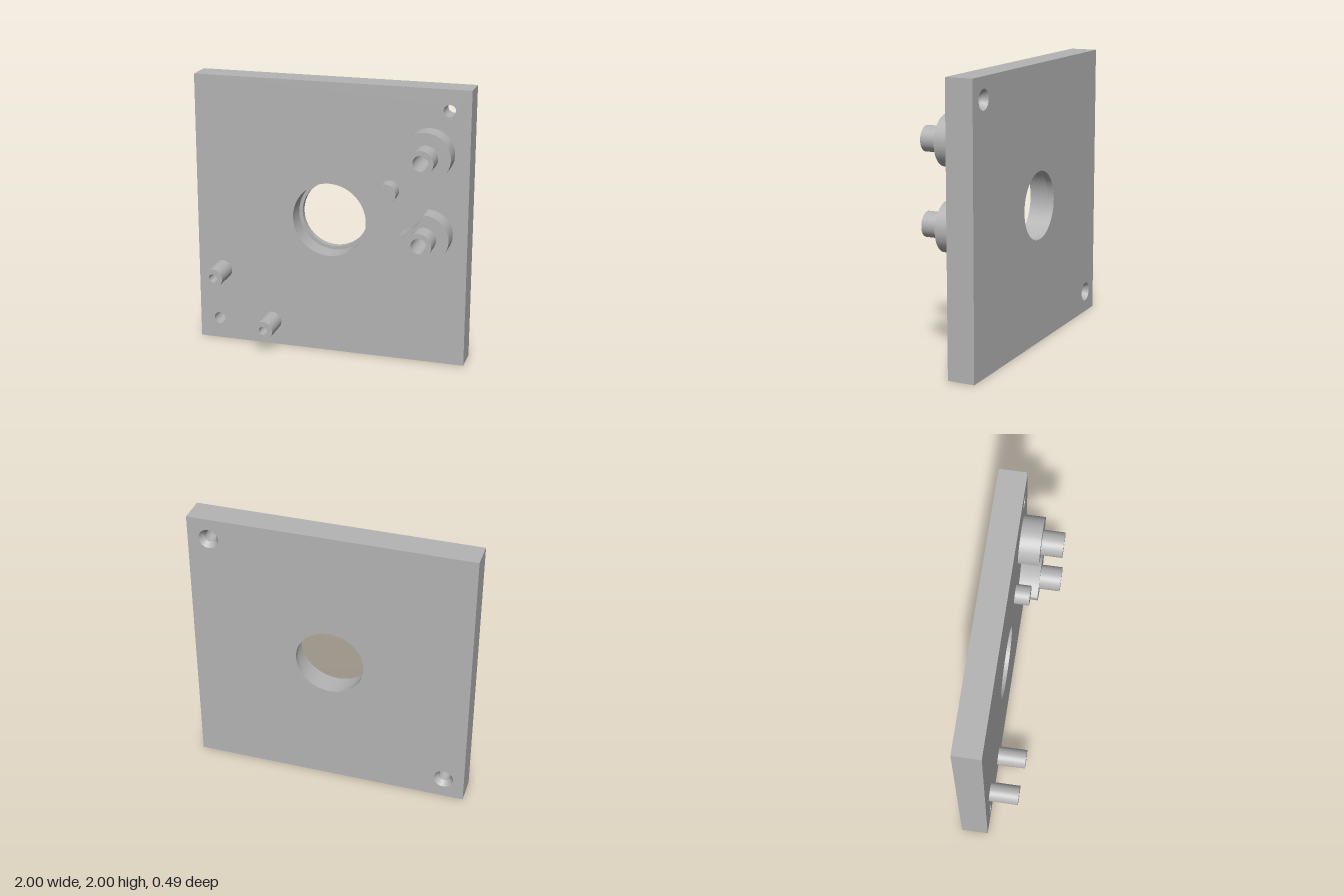
import * as THREE from 'three';
import { mergeGeometries, toCreasedNormals } from 'three/addons/utils/BufferGeometryUtils.js';

const BACK = -0.245, FRONT = -0.05, SEG = 48;

// Turned surface about the z axis; each [radius, z] segment keeps its own sharp edges.
function turned(profile) {
  const bands = [];
  for (let i = 0; i < profile.length - 1; i++) {
    const pair = [profile[i], profile[i + 1]].map(([r, z]) => new THREE.Vector2(r, z));
    bands.push(new THREE.LatheGeometry(pair, SEG));
  }
  return mergeGeometries(bands).rotateX(Math.PI / 2);
}

function circlePath(x, y, r) {
  return new THREE.Path().absarc(x, y, r, 0, Math.PI * 2, true);
}

// Square plate face with round holes given as [x, y, radius].
function plateFace(holes) {
  const s = new THREE.Shape([[-1, 0], [1, 0], [1, 2], [-1, 2]].map(p => new THREE.Vector2(...p)));
  holes.forEach(h => s.holes.push(circlePath(...h)));
  return new THREE.ShapeGeometry(s, SEG / 2);
}

export function createModel() {
  const model = new THREE.Group();
  const grey = new THREE.MeshStandardMaterial({ color: 0xb4b4b4 });
  grey.name = 'machined grey';

  function add(name, geometry, x = 0, y = 0) {
    const mesh = new THREE.Mesh(geometry, grey);
    mesh.name = name;
    mesh.position.set(x, y, 0);
    model.add(mesh);
    return mesh;
  }

  // Plate faces and edges
  const screws = [[0.85, 1.85], [-0.85, 0.155]];
  add('plateFront', plateFace([[0, 1, 0.27], ...screws.map(p => [...p, 0.043])]).translate(0, 0, FRONT));
  const back = plateFace([[0, 1, 0.245], ...screws.map(([x, y]) => [-x, y, 0.07])]);
  add('plateBack', back.rotateY(Math.PI).translate(0, 0, BACK));
  const walls = [];
  for (let i = 0; i < 4; i++) {
    walls.push(new THREE.PlaneGeometry(2, FRONT - BACK).translate(0, 0, 1).rotateY(i * Math.PI / 2));
  }
  add('plateEdges', mergeGeometries(walls).rotateX(Math.PI / 2).translate(0, 1, (FRONT + BACK) / 2));

  // Stepped central opening and countersunk corner holes
  add('centralBore', turned([[0.27, FRONT], [0.27, -0.2], [0.245, -0.2], [0.245, BACK]]), 0, 1);
  screws.forEach(([x, y]) =>
    add('screwHole', turned([[0.043, FRONT], [0.043, BACK + 0.04], [0.07, BACK]]), x, y));

  // Large bosses, each scooped by an arc around the locating pin
  const pin = new THREE.Vector2(0.437, 1.26), scoop = 0.302, bossR = 0.175;
  [[0.72, 1.55], [0.72, 0.97]].forEach(([x, y]) => {
    const dx = pin.x - x, dy = pin.y - y, d = Math.hypot(dx, dy);
    const toPin = Math.atan2(dy, dx);
    const a = Math.acos((d * d + bossR * bossR - scoop * scoop) / (2 * d * bossR));
    const b = Math.acos((d * d + scoop * scoop - bossR * bossR) / (2 * d * scoop));
    const s = new THREE.Shape();
    s.absarc(0, 0, bossR, toPin + a, toPin - a + Math.PI * 2, false);
    s.absarc(dx, dy, scoop, toPin + Math.PI + b, toPin + Math.PI - b, true);
    s.holes.push(circlePath(0, 0, 0.08));
    const geo = new THREE.ExtrudeGeometry(s, { depth: 0.145, bevelEnabled: false, curveSegments: SEG });
    add('scoopedBoss', toCreasedNormals(geo.translate(0, 0, FRONT), 0.5), x, y);
    add('bossSpigot', turned([[0.088, FRONT], [0.088, 0.245], [0.055, 0.245], [0.055, -0.04], [0, -0.04]]), x, y);
  });

  // Locating pin and two hollow standoffs
  add('locatingPin', turned([[0.07, FRONT], [0.07, 0.055], [0, 0.055]]), pin.x, pin.y);
  [[-0.815, 0.545], [-0.437, 0.18]].forEach(([x, y]) =>
    add('standoff', turned([[0.07, FRONT], [0.07, 0.16], [0.031, 0.16], [0.031, -0.04], [0, -0.04]]), x, y));

  return model;
}
